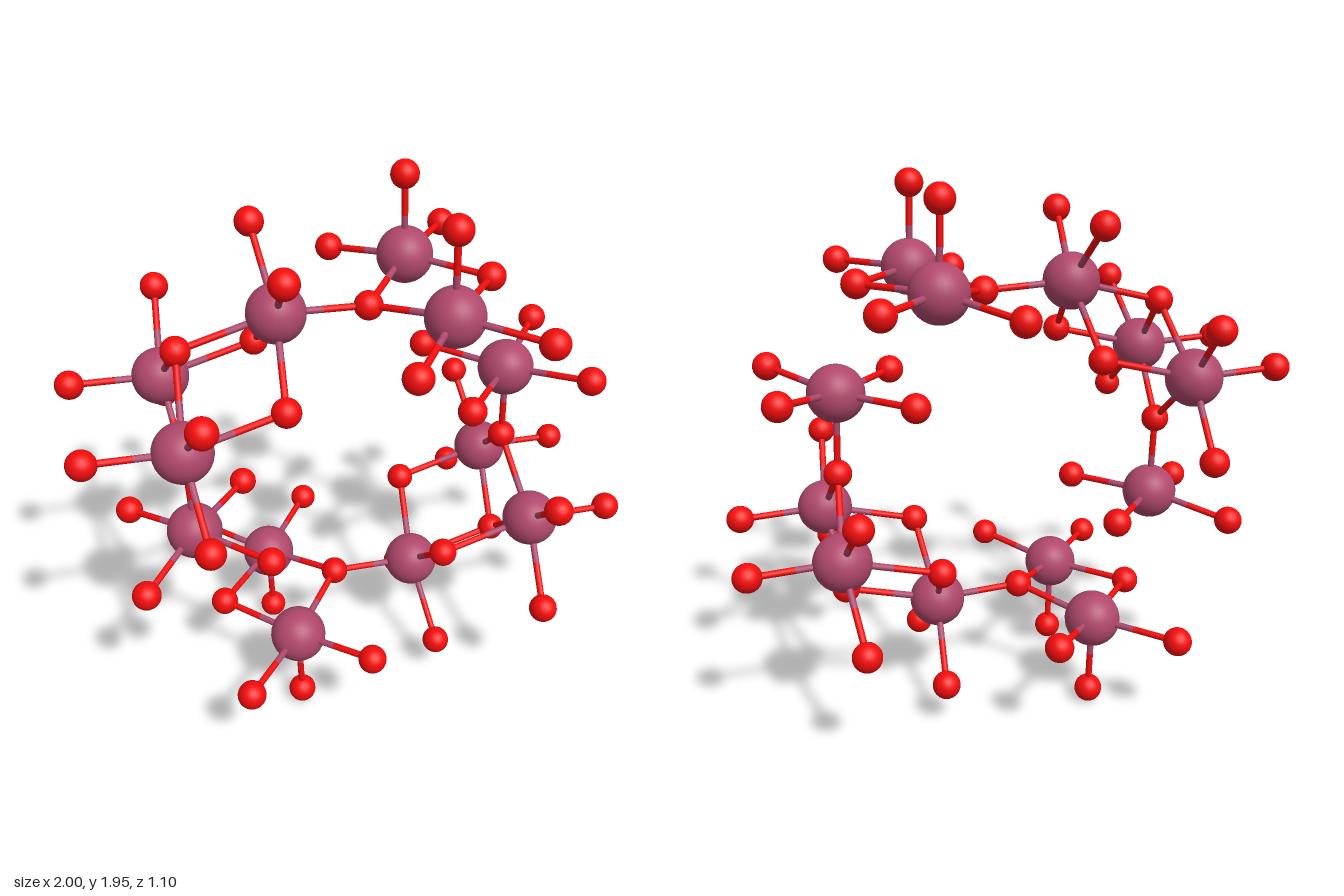
import * as THREE from 'three';

const MID_Y = 0.98; // height of the half-turn axis
const METAL_R = 0.102, OXYGEN_R = 0.051, BOND_R = 0.012;

// One half of the cluster: [x, y, list of z positions]
const metals = {
  A: [-0.255, 1.573, [0]],
  B: [0.278, 1.606, [-0.25, 0.25]],
  C: [-0.632, 1.256, [-0.25, 0.25]],
  E: [-0.595, 0.733, [0]],
};
const oxygens = {
  a: [-0.28, 1.797, [-0.25, 0.25]],
  b: [0.27, 1.903, [-0.25, 0.25]],
  c: [0.509, 1.602, [-0.5, 0, 0.5]],
  d: [0.065, 1.556, [-0.5, 0, 0.5]],
  e: [-0.596, 1.485, [-0.5, 0, 0.5]],
  f: [-0.288, 1.344, [-0.25, 0.25]],
  g: [-0.949, 1.271, [-0.25, 0.25]],
  h: [-0.604, 1.03, [-0.5, 0, 0.5]],
  i: [-0.809, 0.687, [-0.25, 0.25]],
  j: [-0.364, 0.731, [-0.25, 0.25]],
};
// Oxygen sites attached to each metal site
const links = { A: 'adef', B: 'bcd', C: 'efgh', E: 'hij' };

export function createModel() {
  const root = new THREE.Group();
  root.name = 'molecularCluster';

  const metalMat = new THREE.MeshStandardMaterial({ color: 0xb0486c });
  const oxygenMat = new THREE.MeshStandardMaterial({ color: 0xf40c0c });
  const metalGeo = new THREE.SphereGeometry(METAL_R, 32, 20);
  const oxygenGeo = new THREE.SphereGeometry(OXYGEN_R, 24, 16);
  const rodGeo = new THREE.CylinderGeometry(BOND_R, BOND_R, 1, 12, 1, true);
  const up = new THREE.Vector3(0, 1, 0);

  const points = ([x, y, zs]) => zs.map((z) => new THREE.Vector3(x, y - MID_Y, z));

  function addBall(parent, name, geo, mat, p) {
    const ball = new THREE.Mesh(geo, mat);
    ball.name = name;
    ball.position.copy(p);
    parent.add(ball);
  }

  function addRod(parent, name, mat, p, q) {
    const dir = q.clone().sub(p);
    const rod = new THREE.Mesh(rodGeo, mat);
    rod.name = name;
    rod.position.copy(p).add(q).multiplyScalar(0.5);
    rod.scale.y = dir.length();
    rod.quaternion.setFromUnitVectors(up, dir.normalize());
    parent.add(rod);
  }

  function buildHalf(name) {
    const half = new THREE.Group();
    half.name = name;

    // Oxygen balls
    for (const site of Object.values(oxygens)) {
      for (const p of points(site)) addBall(half, 'oxygenAtom', oxygenGeo, oxygenMat, p);
    }

    // Metal balls, with bonds coloured by the nearer atom
    for (const [key, site] of Object.entries(metals)) {
      for (const m of points(site)) {
        addBall(half, 'metalAtom', metalGeo, metalMat, m);
        for (const link of links[key]) {
          for (const o of points(oxygens[link])) {
            if (Math.abs(o.z - m.z) > 0.3) continue; // only neighbours in depth
            const mid = m.clone().lerp(o, 0.5);
            addRod(half, 'metalBondHalf', metalMat, m, mid);
            addRod(half, 'oxygenBondHalf', oxygenMat, mid, o);
          }
        }
      }
    }
    half.position.y = MID_Y;
    return half;
  }

  // The second half is the first turned half way round the z axis
  const lower = buildHalf('lowerHalf');
  lower.rotation.z = Math.PI;
  root.add(buildHalf('upperHalf'), lower);
  return root;
}
